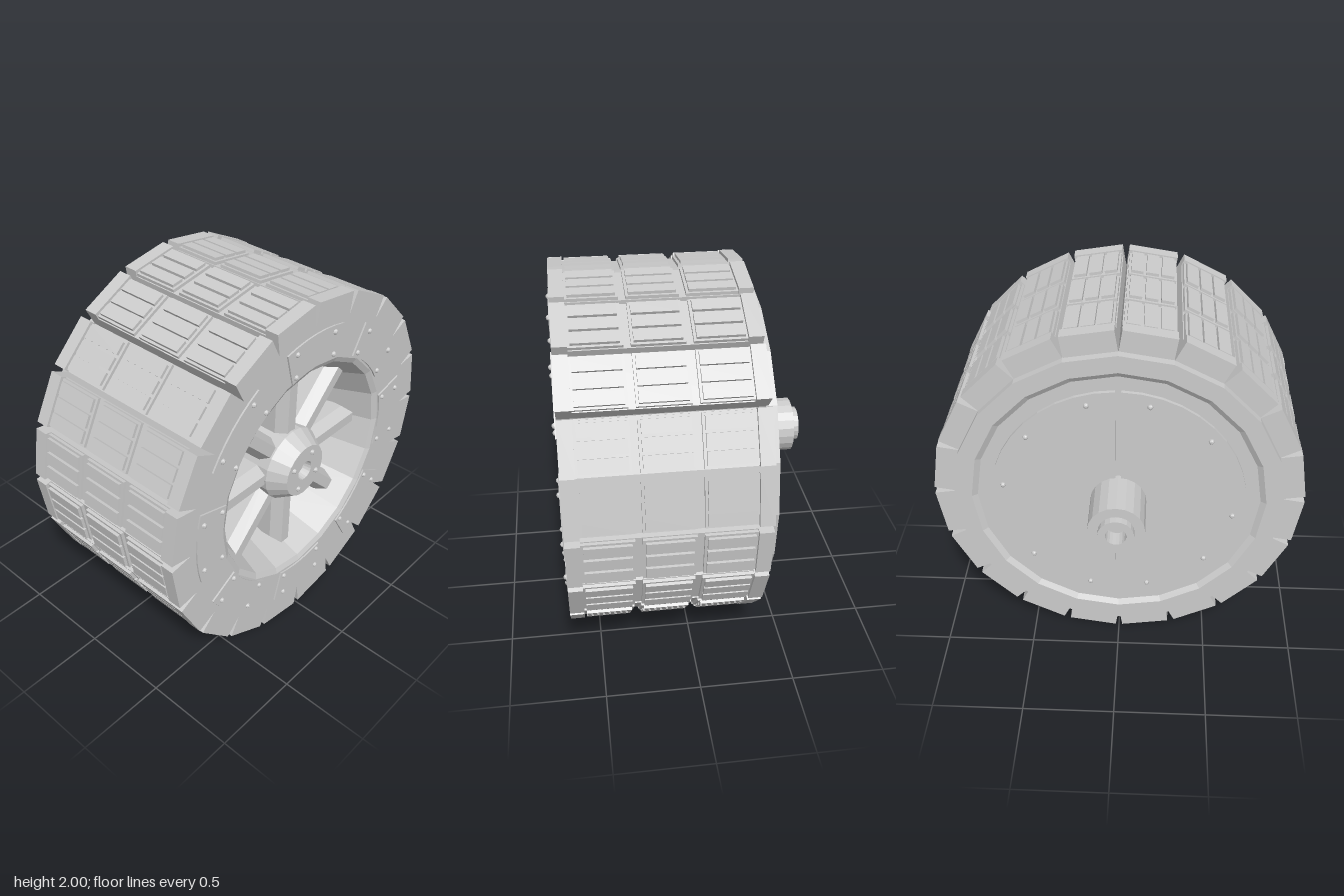
import * as THREE from 'three';
import { mergeGeometries } from 'three/addons/utils/BufferGeometryUtils.js';

const SIDES = 20;
const material = new THREE.MeshStandardMaterial({ color: 0xcccccc, flatShading: true });
const rad = THREE.MathUtils.degToRad;

export function createModel() {
  const root = new THREE.Group();
  root.name = 'wheel';
  // Built with the axle along local z, then turned so the open face points to +x.
  const wheel = new THREE.Group();
  wheel.name = 'wheelBody';
  wheel.rotation.y = Math.PI / 2;
  wheel.position.y = 1;
  root.add(wheel);

  const add = (name, geometry, angle = 0) => {
    const mesh = new THREE.Mesh(geometry, material);
    mesh.name = name;
    mesh.rotation.z = angle;
    wheel.add(mesh);
    return mesh;
  };
  // Turned part from [radius, z] points
  const turned = (points) => new THREE.LatheGeometry(
    points.map(([r, z]) => new THREE.Vector2(r, z)), SIDES).rotateX(Math.PI / 2);
  // Box given by its centre x, radial range and centre z
  const block = (w, y0, y1, d, x, z) =>
    new THREE.BoxGeometry(w, y1 - y0, d).translate(x, (y0 + y1) / 2, z);

  const rivetGeometry = new THREE.SphereGeometry(0.015, 8, 6);
  const rivet = (r, angle, z) => add('rivet', rivetGeometry)
    .position.set(r * Math.cos(angle), r * Math.sin(angle), z);

  // Drum: stepped back plate, outer wall, front face and dished cavity
  add('drum', turned([
    [0, -0.375], [0.76, -0.375], [0.79, -0.395], [0.885, -0.395], [0.885, -0.34], [0.875, -0.34],
    [0.875, 0.66], [0.65, 0.66], [0.62, 0.645], [0.5, 0.3], [0, 0.3],
  ]));

  // Tread block: base, two full-height side rims, three panels of three slats
  const parts = [
    block(0.274, 0.86, 0.955, 1.0, 0, 0.155),
    block(0.274, 0.86, 0.99, 0.075, 0, -0.3125),
    block(0.274, 0.86, 0.99, 0.075, 0, 0.6225),
  ];
  for (const z of [-0.145, 0.155, 0.455]) {
    parts.push(block(0.262, 0.95, 0.972, 0.264, 0, z));
    for (const x of [-0.084, 0, 0.084]) parts.push(block(0.068, 0.97, 0.988, 0.236, x, z));
  }
  const treadGeometry = mergeGeometries(parts);
  for (let i = 0; i < SIDES; i++) add('treadBlock', treadGeometry, rad(9 + i * 18));

  // Riveted plates on the front face
  const plateShape = new THREE.Shape();
  plateShape.absarc(0, 0, 0.84, rad(-15), rad(15), false);
  plateShape.absarc(0, 0, 0.655, rad(15), rad(-15), true);
  plateShape.closePath();
  const plateGeometry = new THREE.ExtrudeGeometry(plateShape,
    { depth: 0.012, bevelEnabled: false, curveSegments: 3 }).translate(0, 0, 0.657);
  for (let i = 0; i < 8; i++) {
    const a = rad(i * 45);
    add('facePlate', plateGeometry, a);
    for (const s of [-1, 1]) {
      rivet(0.805, a + s * rad(10.5), 0.668);
      rivet(0.68, a + s * rad(12.5), 0.668);
    }
  }

  // Concentric rings on the cavity floor
  for (const [inner, outer, top] of [[0.34, 0.4, 0.41], [0.25, 0.3, 0.38]]) {
    add('floorRing', turned([[outer, 0.29], [outer, top - 0.02], [outer - 0.02, top],
      [inner, top], [inner, 0.29]]));
  }

  // Spokes: chamfered bars with tapered ends
  const section = new THREE.Shape([[-0.065, 0.32], [0.065, 0.32], [0.065, 0.49], [0.03, 0.55],
    [-0.03, 0.55], [-0.065, 0.49]].map(([x, z]) => new THREE.Vector2(x, -z)));
  const spokeGeometry = new THREE.ExtrudeGeometry(section, { depth: 0.47, bevelEnabled: false })
    .rotateX(-Math.PI / 2).translate(0, 0.1, 0);
  const p = spokeGeometry.attributes.position;
  for (let i = 0; i < p.count; i++) {
    if (p.getY(i) > 0.5 && Math.abs(p.getX(i)) > 0.05) p.setY(i, 0.535);
  }
  for (let i = 0; i < 8; i++) add('spoke', spokeGeometry, rad(i * 45));

  // Hub: tapered cap with a centre hole and four rivets
  add('hub', turned([[0.21, 0.29], [0.21, 0.56], [0.15, 0.655], [0.055, 0.655],
    [0.045, 0.61], [0, 0.61]]));
  for (let i = 0; i < 4; i++) rivet(0.108, rad(62 + i * 90), 0.655);

  // Back cover: two half discs with a seam between them
  const halfShape = new THREE.Shape();
  halfShape.absarc(0, 0, 0.68, rad(-88.7), rad(88.7), false);
  halfShape.closePath();
  const halfGeometry = new THREE.ExtrudeGeometry(halfShape,
    { depth: 0.03, bevelEnabled: false, curveSegments: 10 }).translate(0, 0, -0.395);
  for (const turn of [0, Math.PI]) {
    add('backCover', halfGeometry, turn);
    for (const a of [-75, -40, 8, 40, 75]) rivet(0.62, turn + rad(a), -0.397);
  }

  // Stepped hollow axle
  add('axle', turned([[0, -0.6], [0.055, -0.6], [0.055, -0.69], [0.095, -0.69],
    [0.095, -0.65], [0.15, -0.65], [0.15, -0.37]]));

  return root;
}
